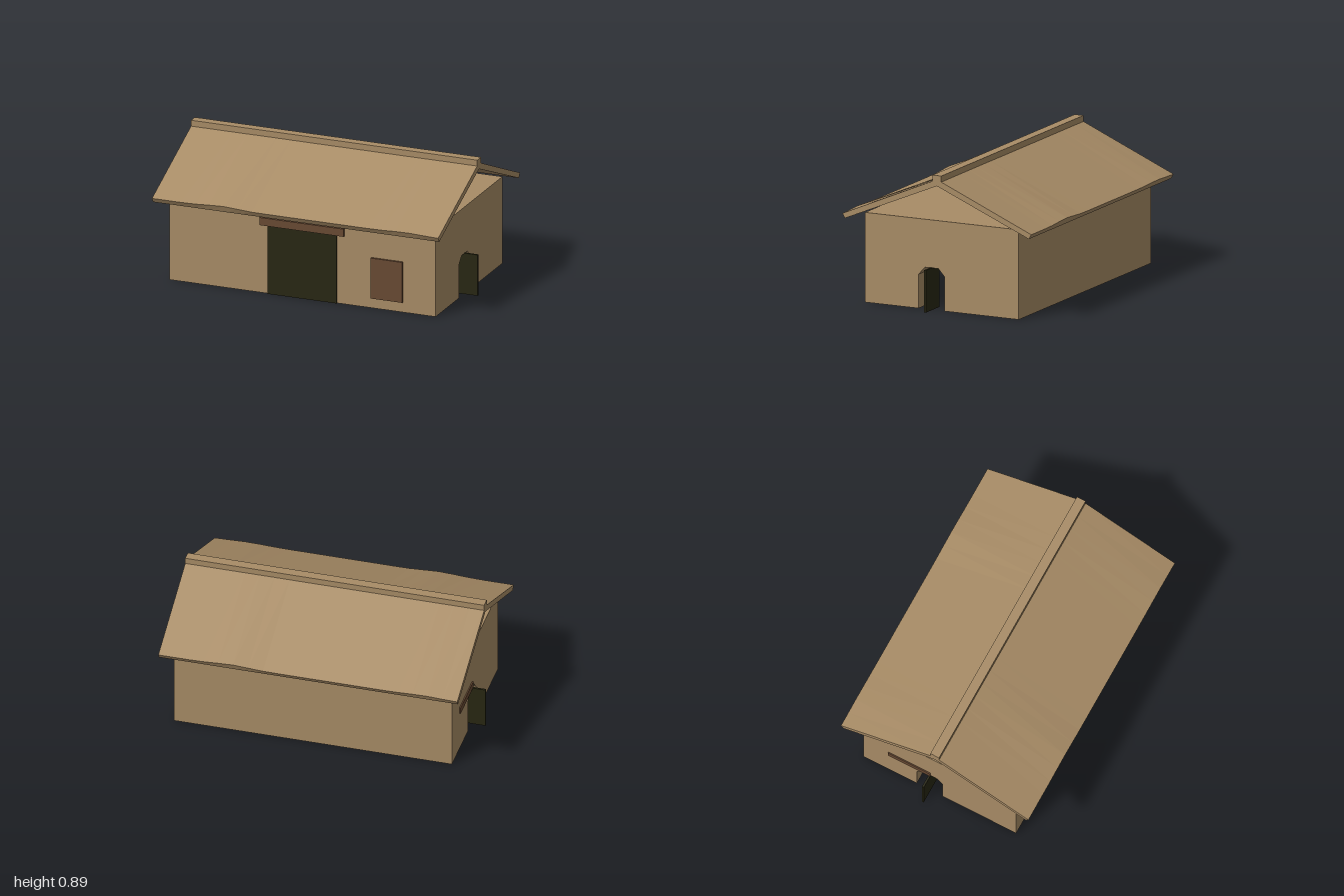
import * as THREE from 'three';

const W = 0.908, D = 0.545, H = 0.58, T = 0.115; // half width, half depth, wall height, wall thickness

export function createModel() {
  const mat = (name, color) => {
    const m = new THREE.MeshStandardMaterial({ color });
    m.name = name;
    return m;
  };
  const clay = mat('clay', 0xa88c66);
  const darkWood = mat('darkWood', 0x282712);
  const redWood = mat('redWood', 0x694a33);

  const model = new THREE.Group();
  model.name = 'house';

  const add = (name, geometry, material, parent = model) => {
    const mesh = new THREE.Mesh(geometry, material);
    mesh.name = name;
    parent.add(mesh);
    return mesh;
  };
  const box = (name, material, [x0, x1], [y0, y1], [z0, z1], parent) => {
    const mesh = add(name, new THREE.BoxGeometry(x1 - x0, y1 - y0, z1 - z0), material, parent);
    mesh.position.set((x0 + x1) / 2, (y0 + y1) / 2, (z0 + z1) / 2);
    return mesh;
  };

  // Wall panel with an arched doorway cut up from the ground; outer face at z = T
  const archedWall = (half, arch) => {
    const shape = new THREE.Shape();
    shape.moveTo(-half, 0);
    arch.forEach(([x, y]) => shape.lineTo(x, y));
    shape.lineTo(half, 0);
    shape.lineTo(half, H);
    shape.lineTo(-half, H);
    return new THREE.ExtrudeGeometry(shape, { depth: T, bevelEnabled: false });
  };

  // Front wall with the large arch, plain back wall, ceiling
  const bigArch = [
    [-0.235, 0], [-0.235, 0.41], [-0.17, 0.475], [-0.08, 0.5],
    [0.08, 0.5], [0.17, 0.475], [0.235, 0.41], [0.235, 0],
  ];
  add('frontWall', archedWall(W, bigArch), clay).position.z = D - T;
  box('backWall', clay, [-W, W], [0, H], [-D, -D + T]);
  box('ceiling', clay, [-W + T, W - T], [H - 0.012, H], [-D + T, D - T]);

  // Side walls: the same doorway turned half a circle, each with an open door
  const smallArch = [
    [-0.165, 0], [-0.165, 0.22], [-0.12, 0.27], [-0.025, 0.27], [0.02, 0.22], [0.02, 0],
  ];
  for (const [side, turn] of [['left', Math.PI / 2], ['right', -Math.PI / 2]]) {
    const group = new THREE.Group();
    group.name = side + 'Side';
    group.rotation.y = turn;
    model.add(group);
    add(side + 'Wall', archedWall(D - T, smallArch), clay, group).position.z = W - T;
    box(side + 'Door', darkWood, [-0.079, -0.066], [0, 0.273], [0.815, 1], group);
  }
  box('sideLintel', redWood, [-W - 0.008, -W + 0.01], [0.27, 0.315], [-0.367, -0.067]);

  // Front door, its lintel and the shutter
  box('frontDoor', darkWood, [-0.235, 0.235], [0, 0.456], [D, D + 0.009]);
  box('frontLintel', redWood, [-0.287, 0.287], [0.456, 0.507], [D, D + 0.02]);
  box('shutter', redWood, [0.47, 0.685], [0.067, 0.337], [D, D + 0.014]);

  // Roof slope: a box reshaped to the pitch, with a gently uneven eave
  const bump = (x, centre, width, height) => height * Math.max(0, 1 - Math.abs(x - centre) / width);
  const roofSlope = () => {
    let geometry = new THREE.BoxGeometry(1.954, 1, 1, 20, 1, 1);
    const p = geometry.attributes.position;
    for (let i = 0; i < p.count; i++) {
      const x = p.getX(i), top = p.getY(i) > 0, eave = p.getZ(i) > 0;
      if (eave) {
        const wave = bump(x, -0.5, 0.22, 0.013) + bump(x, 0.75, 0.2, 0.008);
        p.setY(i, top ? 0.575 + wave : 0.545);
        p.setZ(i, top ? 0.67 : 0.652);
      } else {
        p.setY(i, top ? 0.862 : 0.82);
        p.setZ(i, 0);
      }
    }
    geometry = geometry.toNonIndexed();
    geometry.computeVertexNormals();
    return geometry;
  };
  add('frontRoof', roofSlope(), clay);
  add('backRoof', roofSlope(), clay).rotation.y = Math.PI;

  // Ridge cap
  box('ridgeCap', clay, [-0.977, 0.977], [0.848, 0.888], [-0.031, 0.031]);

  return model;
}
